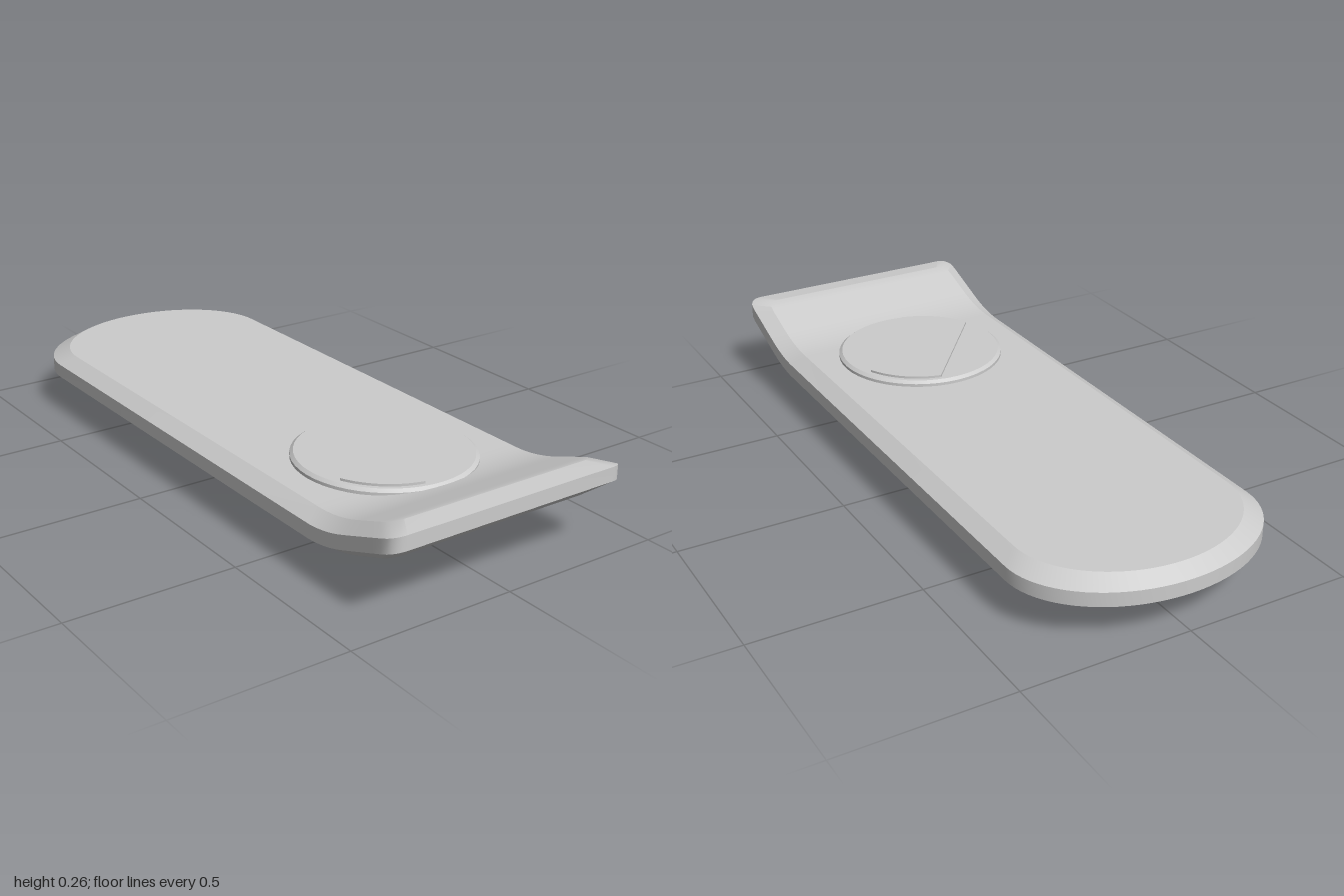
import * as THREE from 'three';
import { toCreasedNormals } from 'three/addons/utils/BufferGeometryUtils.js';

const grey = new THREE.MeshStandardMaterial({ color: 0xcccccc, side: THREE.DoubleSide });

function add(parent, name, geometry, x = 0, y = 0, z = 0) {
  const mesh = new THREE.Mesh(geometry, grey);
  mesh.name = name;
  mesh.position.set(x, y, z);
  parent.add(mesh);
  return mesh;
}

// Height gained by the upturned nose, easing into a constant slope
function rise(z) {
  const start = 0.64, end = 0.8, slope = 0.36;
  if (z < start) return 0;
  if (z < end) return slope * (z - start) ** 2 / (2 * (end - start));
  return slope * (z - (start + end) / 2);
}

// Half outline of the deck from the round tail to the square nose
function halfOutline() {
  const W = 0.38, pts = [];
  for (let i = 0; i <= 20; i++) {
    const a = i / 20 * Math.PI / 2;
    pts.push([W * Math.sin(a), -0.72 - 0.28 * Math.cos(a)]);
  }
  pts.push([W, 0], [W, 0.4]);
  for (let i = 0; i <= 10; i++) pts.push([W, 0.66 + 0.029 * i]);
  for (let i = 1; i <= 5; i++) {
    const a = i / 5 * Math.PI / 2;
    pts.push([W - 0.04 + 0.04 * Math.cos(a), 0.96 + 0.04 * Math.sin(a)]);
  }
  pts.push([0, 1]);
  return pts;
}

// Deck: stacked insets of the outline, bent upward at the nose
function deckGeometry() {
  const outline = halfOutline(), n = outline.length;
  const layers = [[0.05, 0.085], [0, 0.115], [0, 0.157], [0.045, 0.185]];
  const pos = [], index = [];
  for (const [inset, y] of layers) for (const side of [1, -1]) for (const [w, z] of outline) {
    const zz = z * (1 - inset * (z > 0 ? 1.4 : 1));
    pos.push(side * w * (1 - inset / 0.38), y + rise(zz), zz);
  }
  const id = (layer, side, i) => (layer * 2 + side) * n + i;
  const quad = (a, b, c, d) => index.push(a, b, c, a, c, d);
  const top = layers.length - 1;
  for (let i = 0; i < n - 1; i++) {
    for (let k = 0; k < top; k++) {
      quad(id(k, 0, i), id(k + 1, 0, i), id(k + 1, 0, i + 1), id(k, 0, i + 1));
      quad(id(k, 1, i), id(k, 1, i + 1), id(k + 1, 1, i + 1), id(k + 1, 1, i));
    }
    quad(id(top, 0, i), id(top, 1, i), id(top, 1, i + 1), id(top, 0, i + 1));
    quad(id(0, 0, i), id(0, 0, i + 1), id(0, 1, i + 1), id(0, 1, i));
  }
  const g = new THREE.BufferGeometry();
  g.setAttribute('position', new THREE.Float32BufferAttribute(pos, 3));
  g.setIndex(index);
  return toCreasedNormals(g, 0.4);
}

function lathe(points, phi = 0, length = Math.PI * 2) {
  const g = new THREE.LatheGeometry(points.map(p => new THREE.Vector2(...p)), 48, phi, length);
  return toCreasedNormals(g, 0.5);
}

// Hover unit: bowl, stepped rings with one raised half, and four lugs
function hoverUnit(name, z) {
  const unit = new THREE.Group();
  unit.name = name;
  unit.position.z = z;
  add(unit, 'bowl', lathe([[0, 0], [0.16, 0], [0.21, 0.027], [0.195, 0.031], [0.195, 0.1]]));
  const rings = grow => [
    [0.19, 0.044 - grow / 3], [0.215 + grow, 0.044 - grow / 3], [0.222 + grow, 0.05], [0.217 + grow, 0.06],
    [0.217 + grow, 0.066 - grow / 3], [0.25 + grow, 0.066 - grow / 3], [0.257 + grow, 0.072], [0.257 + grow, 0.09],
  ];
  add(unit, 'steppedRings', lathe(rings(0)));
  add(unit, 'raisedHalfRings', lathe(rings(0.012), 2.456, Math.PI));
  for (const sx of [1, -1]) for (const sz of [1, -1]) {
    add(unit, 'lug', new THREE.CylinderGeometry(0.03, 0.03, 0.035, 20), sx * 0.145, 0.0875, sz * 0.275);
    add(unit, 'lugBolt', new THREE.CylinderGeometry(0.014, 0.014, 0.008, 12), sx * 0.145, 0.067, sz * 0.275);
    const arm = add(unit, 'lugArm', new THREE.BoxGeometry(0.035, 0.022, 0.09), sx * 0.125, 0.085, sz * 0.235);
    arm.rotation.y = sx * sz * 0.48;
  }
  return unit;
}

// Foot pad: bevelled disc with a raised diagonal strip
function footPad() {
  const pad = new THREE.Group();
  pad.name = 'footPad';
  pad.position.z = 0.48;
  add(pad, 'padDisc', lathe([[0.26, 0.17], [0.26, 0.194], [0.25, 0.202], [0, 0.202]]));
  const a = 0.886, h = 0.487, r = 0.237, shape = new THREE.Shape();
  shape.absarc(0, 0, r, a - h, a + h);
  shape.absarc(0, 0, r, a + Math.PI - h, a + Math.PI + h);
  shape.closePath();
  const strip = new THREE.ExtrudeGeometry(shape, { depth: 0.012, bevelEnabled: false, curveSegments: 16 });
  strip.rotateX(-Math.PI / 2);
  add(pad, 'padStrip', strip, 0, 0.197, 0);
  return pad;
}

// Power pack: slab with scalloped sides, pins and two pipes to the rear unit
function powerPack() {
  const pack = new THREE.Group();
  pack.name = 'powerPack';
  pack.position.z = -0.025;
  add(pack, 'packBody', new THREE.BoxGeometry(0.22, 0.04, 0.32), 0, 0.075, 0);
  for (const side of [1, -1]) {
    for (let i = -2; i <= 2; i++) {
      add(pack, 'packScallop', new THREE.CylinderGeometry(0.033, 0.03, 0.04, 20), side * 0.105, 0.075, i * 0.066);
    }
    for (const z of [-0.09, 0.09]) {
      add(pack, 'packPin', new THREE.CylinderGeometry(0.01, 0.01, 0.01, 12), side * 0.06, 0.053, z);
    }
    const pipe = new THREE.CylinderGeometry(0.013, 0.013, 0.14, 12).rotateX(Math.PI / 2);
    add(pack, 'packPipe', pipe, side * 0.05, 0.078, -0.21);
  }
  return pack;
}

export function createModel() {
  const model = new THREE.Group();
  model.name = 'hoverDeck';
  add(model, 'deck', deckGeometry());
  model.add(footPad(), hoverUnit('frontHoverUnit', 0.48), hoverUnit('rearHoverUnit', -0.54), powerPack());
  return model;
}
